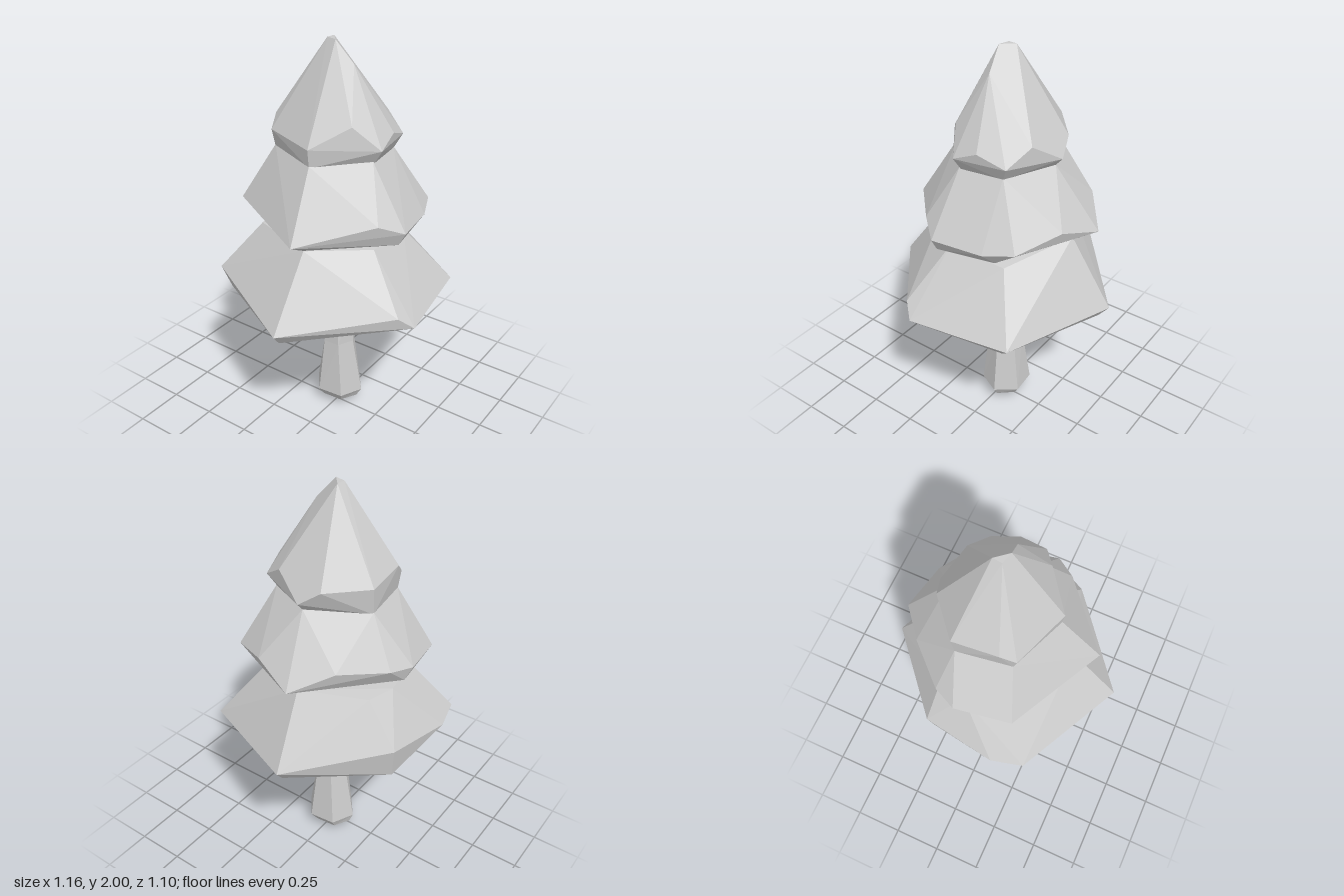
import * as THREE from 'three';
import { ConvexGeometry } from 'three/addons/geometries/ConvexGeometry.js';

const material = new THREE.MeshStandardMaterial({ color: 0xcccccc, flatShading: true });

// Faceted foliage mass spanned by rings of [x, y, z] corners
function tier(name, ...rings) {
  const points = rings.flat().map((p) => new THREE.Vector3(...p));
  const mesh = new THREE.Mesh(new ConvexGeometry(points), material);
  mesh.name = name;
  return mesh;
}

// Irregular hexagonal trunk lofted through rings [y, cx, cz, rx, rz, turn]
function trunk(rings, sides = 6) {
  const positions = [];
  const corner = ([y, cx, cz, rx, rz, turn], i) => {
    const a = (i / sides) * Math.PI * 2 + turn;
    return [cx + Math.sin(a) * rx, y, cz + Math.cos(a) * rz];
  };
  for (let r = 0; r < rings.length - 1; r++) {
    for (let i = 0; i < sides; i++) {
      const a = corner(rings[r], i), b = corner(rings[r], i + 1);
      const c = corner(rings[r + 1], i + 1), d = corner(rings[r + 1], i);
      positions.push(...a, ...b, ...c, ...a, ...c, ...d);
    }
  }
  const geometry = new THREE.BufferGeometry();
  geometry.setAttribute('position', new THREE.Float32BufferAttribute(positions, 3));
  geometry.computeVertexNormals();
  const mesh = new THREE.Mesh(geometry, material);
  mesh.name = 'trunk';
  return mesh;
}

export function createModel() {
  const tree = new THREE.Group();
  tree.name = 'tree';

  // Trunk: blunt foot, slim waist, small flare under the foliage
  tree.add(trunk([
    [0, 0.04, 0, 0.004, 0.004, 0],
    [0.04, 0.03, -0.01, 0.09, 0.11, 0.1],
    [0.09, 0.03, -0.005, 0.125, 0.135, 0.1],
    [0.4, 0.025, -0.005, 0.09, 0.085, 0.05],
    [0.6, 0.03, -0.015, 0.085, 0.088, 0],
    [0.67, 0.04, -0.02, 0.13, 0.13, 0],
  ]));

  // Lower tier: underside, rim, neck
  tree.add(tier('lowerFoliage',
    [[0.05, 0.635, -0.03], [-0.53, 0.69, 0.04], [-0.13, 0.69, 0.41], [0.3, 0.69, 0.41],
      [0.53, 0.71, -0.08], [0.2, 0.7, -0.48], [-0.28, 0.7, -0.47]],
    [[-0.58, 0.75, 0.05], [-0.21, 0.82, 0.49], [-0.15, 0.76, 0.545], [0.36, 0.76, 0.46],
      [0.58, 0.77, -0.09], [0.22, 0.86, -0.5], [-0.15, 0.81, -0.55], [-0.31, 0.82, -0.51]],
    [[-0.33, 1.09, 0.04], [-0.1, 1.07, 0.28], [0.2, 1.05, 0.26], [0.375, 1.04, -0.05],
      [0.37, 1.12, -0.06], [0.2, 1.08, -0.34], [0.06, 1.08, -0.38], [-0.18, 1.07, -0.33]]));

  // Middle tier
  tree.add(tier('middleFoliage',
    [[-0.34, 1.1, 0.05], [-0.08, 1.125, 0.4], [0.2, 1.12, 0.33], [0.36, 1.12, -0.06],
      [0.08, 1.17, -0.45], [0.1, 1.13, -0.3], [-0.18, 1.12, -0.36]],
    [[-0.45, 1.16, 0.06], [-0.18, 1.24, 0.35], [-0.08, 1.19, 0.435], [0.17, 1.18, 0.39],
      [0.31, 1.2, 0.33], [0.42, 1.25, 0.12], [0.49, 1.18, -0.09], [0.35, 1.27, -0.26],
      [0.17, 1.25, -0.43], [0.06, 1.24, -0.48], [-0.21, 1.2, -0.425]],
    [[-0.25, 1.48, 0.02], [-0.06, 1.49, 0.24], [0.16, 1.49, 0.21], [0.28, 1.49, -0.03],
      [0.12, 1.49, -0.3], [-0.14, 1.49, -0.26]]));

  // Upper tier with a blunt, slightly off-centre tip
  tree.add(tier('upperFoliage',
    [[-0.25, 1.47, 0.02], [-0.05, 1.48, 0.24], [0.16, 1.48, 0.21], [0.27, 1.48, -0.03],
      [0.12, 1.48, -0.3], [-0.14, 1.48, -0.26]],
    [[-0.26, 1.56, 0.02], [-0.13, 1.66, 0.17], [-0.06, 1.55, 0.285], [0.06, 1.6, 0.27],
      [0.195, 1.55, 0.24], [0.25, 1.63, 0.12], [0.315, 1.53, -0.03], [0.28, 1.6, -0.13],
      [0.13, 1.61, -0.305], [-0.09, 1.63, -0.29], [-0.16, 1.57, -0.265]],
    [[0, 1.9, 0.09], [-0.015, 2, 0], [0.045, 2, -0.05], [0, 2, -0.055]]));

  return tree;
}
